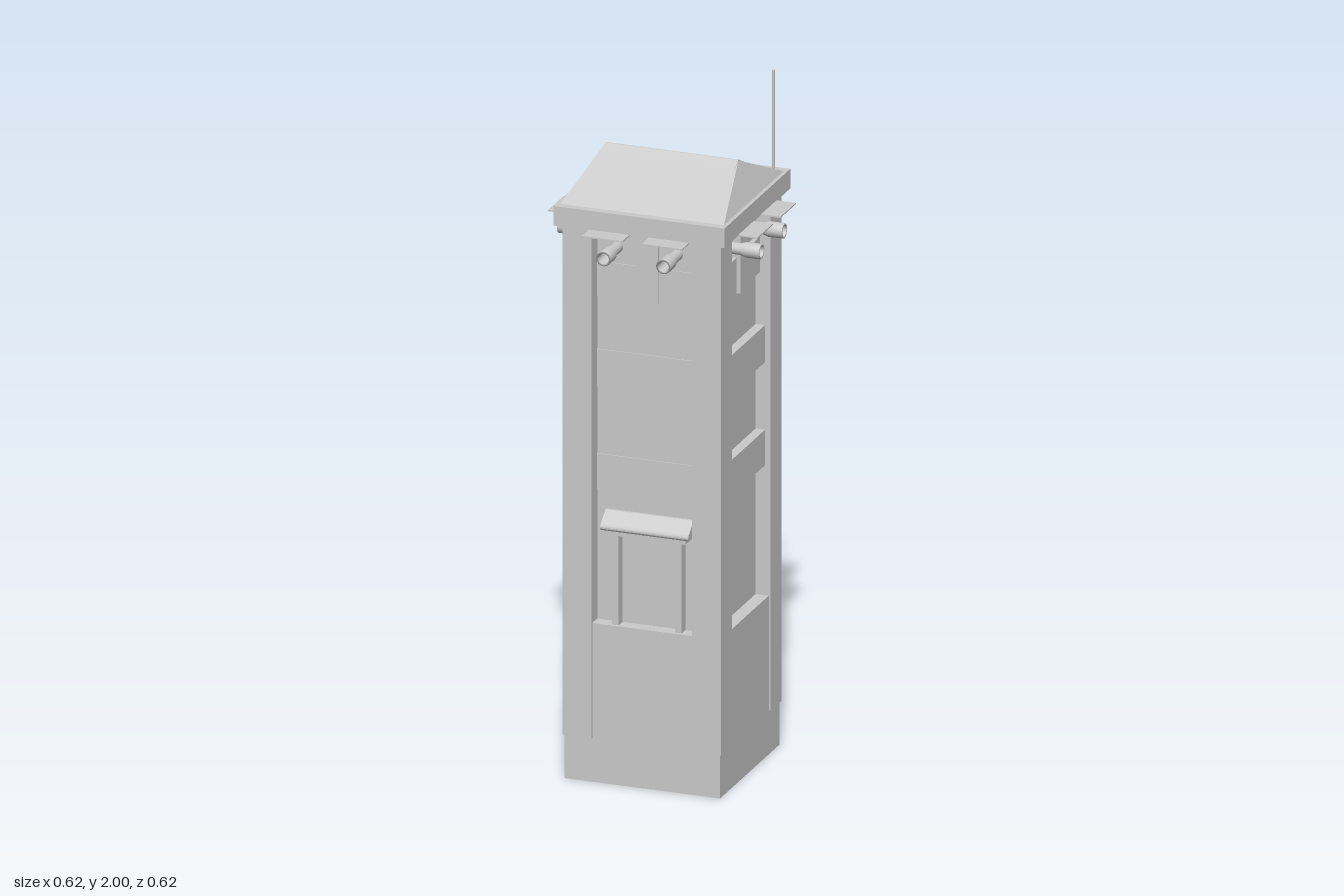
import * as THREE from 'three';

const grey = new THREE.MeshStandardMaterial({ color: 0xcccccc, side: THREE.DoubleSide });

function add(parent, name, geometry, x = 0, y = 0, z = 0) {
  const mesh = new THREE.Mesh(geometry, grey);
  mesh.name = name;
  mesh.position.set(x, y, z);
  parent.add(mesh);
  return mesh;
}

// box given by its lower and upper limits
function box(parent, name, x0, x1, y0, y1, z0, z1) {
  return add(parent, name, new THREE.BoxGeometry(x1 - x0, y1 - y0, z1 - z0),
    (x0 + x1) / 2, (y0 + y1) / 2, (z0 + z1) / 2);
}

// hollow square shaft, open at both ends
function shaft(parent, name, outer, inner, y0, y1) {
  const square = (h, Type) => new Type([[-h, -h], [h, -h], [h, h], [-h, h]].map(p => new THREE.Vector2(...p)));
  const shape = square(outer, THREE.Shape);
  shape.holes.push(square(inner, THREE.Path));
  const geometry = new THREE.ExtrudeGeometry(shape, { depth: y1 - y0, bevelEnabled: false });
  geometry.rotateX(-Math.PI / 2);
  add(parent, name, geometry, 0, y0, 0);
}

// hipped solid: rectangular base narrowing to a ridge along x
function hip(baseX, baseZ, ridgeX, height) {
  const geometry = new THREE.BoxGeometry(2, height, 2).toNonIndexed();
  const p = geometry.attributes.position;
  for (let i = 0; i < p.count; i++) {
    const top = p.getY(i) > 0;
    p.setX(i, p.getX(i) * (top ? ridgeX : baseX));
    p.setZ(i, p.getZ(i) * (top ? 0.002 : baseZ));
  }
  geometry.translate(0, height / 2, 0);
  geometry.computeVertexNormals();
  return geometry;
}

export function createModel() {
  const model = new THREE.Group();
  model.name = 'watchTower';

  // hollow lower body, recessed upper walls and corner pillars
  shaft(model, 'lowerWalls', 0.231, 0.19, 0, 0.47);
  shaft(model, 'recessedWalls', 0.192, 0.15, 0.47, 1.645);
  for (const sx of [-1, 1]) for (const sz of [-1, 1]) {
    add(model, 'cornerPillar', new THREE.BoxGeometry(0.087, 1.515, 0.087), sx * 0.1925, 0.8875, sz * 0.1925);
  }

  // bands around the shaft: deep on the sides, shallow on front and back
  for (const [y0, y1] of [[0.855, 0.96], [1.16, 1.27]]) {
    box(model, 'band', -0.22, 0.22, y0, y1, -0.195, 0.195);
  }

  // four faces: parapets, centre post, gun barrels and shutters
  const barrelProfile = [[0.017, 0], [0.017, 0.09], [0.022, 0.105], [0.022, 0.15], [0.016, 0.15], [0.016, 0.08], [0, 0.08]]
    .map(p => new THREE.Vector2(...p));
  const barrel = new THREE.LatheGeometry(barrelProfile, 16).rotateX(Math.PI / 2);
  for (let i = 0; i < 4; i++) {
    const face = new THREE.Group();
    face.name = ['frontFace', 'leftFace', 'backFace', 'rightFace'][i];
    face.rotation.y = i * Math.PI / 2;
    const proud = i % 2 ? 0.205 : 0.195;
    box(face, 'centrePost', -0.034, 0.034, 1.425, 1.64, 0.18, proud + (i % 2 ? 0.012 : 0.002));
    for (const s of [-1, 1]) {
      add(face, 'parapet', new THREE.BoxGeometry(0.116, 0.105, proud - 0.18), s * 0.092, 1.4775, (proud + 0.18) / 2);
      add(face, 'gunBarrel', barrel, s * 0.089, 1.58, 0.15);
      add(face, 'shutter', new THREE.BoxGeometry(0.12, 0.004, 0.125), s * 0.089, 1.642, 0.249);
    }
    model.add(face);
  }

  // doorway with a sloping rounded canopy
  const door = new THREE.Group();
  door.name = 'doorway';
  for (const x of [-0.084, 0.103]) box(door, 'doorPost', x - 0.01, x + 0.01, 0.47, 0.75, 0.185, 0.222);
  box(door, 'lintel', -0.108, 0.128, 0.738, 0.755, 0.185, 0.232);
  const side = new THREE.Shape();
  side.moveTo(0.185, 0.752);
  side.lineTo(0.238, 0.752);
  side.quadraticCurveTo(0.248, 0.758, 0.24, 0.77);
  side.lineTo(0.2, 0.8);
  side.lineTo(0.185, 0.8);
  side.closePath();
  const canopy = new THREE.ExtrudeGeometry(side, { depth: 0.262, bevelEnabled: false, curveSegments: 5 });
  canopy.rotateY(-Math.PI / 2); // profile depth to +z, extrusion to -x
  add(door, 'canopy', canopy, 0.141, 0, 0);
  model.add(door);

  // roof slab, hipped roof and ridge cap
  box(model, 'roofSlab', -0.254, 0.254, 1.642, 1.7, -0.257, 0.257);
  add(model, 'hippedRoof', hip(0.244, 0.237, 0.198, 0.107), 0, 1.698, 0);
  add(model, 'ridgeCap', hip(0.2, 0.04, 0.198, 0.02), 0, 1.788, 0);

  // aerial on the back corner
  add(model, 'aerial', new THREE.CylinderGeometry(0.004, 0.004, 0.3, 8), 0.217, 1.85, -0.222);
  return model;
}
